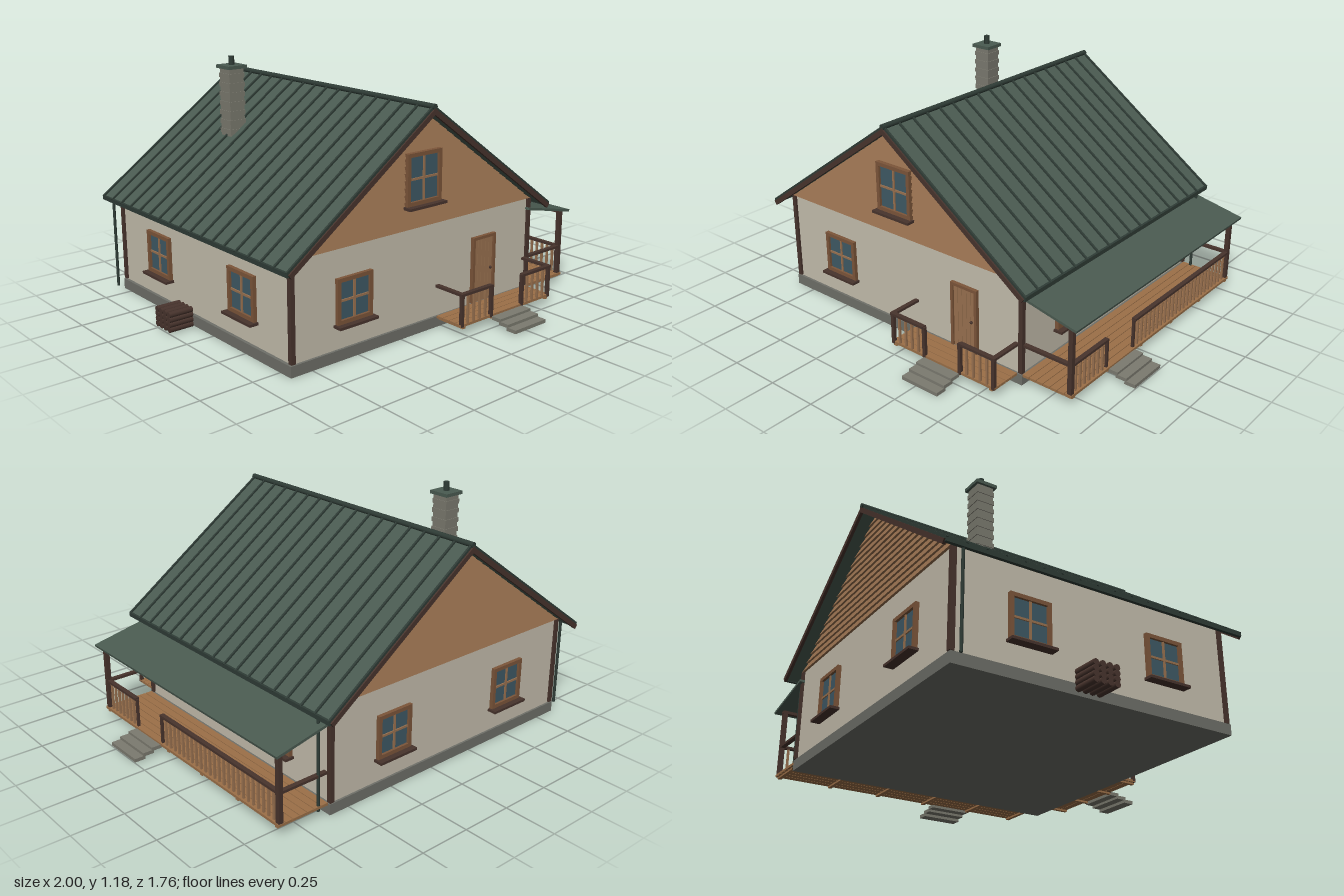
import * as THREE from 'three';

const M = {};
for (const [name, color] of Object.entries({
  plaster: 0xc6bfae, siding: 0x9a7250, darkWood: 0x48342d, frameWood: 0x7d563a, glass: 0x3f5a66,
  roofGreen: 0x4a5b51, seamGreen: 0x2f3c36, stone: 0x7c7b70, foundationGrey: 0x6f7069, deckWood: 0x9c7048,
})) {
  M[name] = new THREE.MeshStandardMaterial({ color });
  M[name].name = name;
}

// Box given by its minimum and maximum corners
function box(parent, name, mat, x0, x1, y0, y1, z0, z1) {
  const m = new THREE.Mesh(new THREE.BoxGeometry(x1 - x0, y1 - y0, z1 - z0), mat);
  m.position.set((x0 + x1) / 2, (y0 + y1) / 2, (z0 + z1) / 2);
  m.name = name;
  parent.add(m);
  return m;
}

function cylinder(parent, name, mat, r, h, x, y, z, sides = 12) {
  const m = new THREE.Mesh(new THREE.CylinderGeometry(r, r, h, sides), mat);
  m.position.set(x, y, z);
  m.name = name;
  parent.add(m);
  return m;
}

function group(parent, name, x = 0, y = 0, z = 0, ry = 0) {
  const g = new THREE.Group();
  g.name = name;
  g.position.set(x, y, z);
  g.rotation.y = ry;
  parent.add(g);
  return g;
}

// House layout: centre, half sizes, roof apex and slope
const CX = -0.1275, CZ = -0.12, HX = 0.72, HZ = 0.683;
const WALL = 0.5, FLOOR = 0.055, APEX = 1.04, SLOPE = 0.715;
const gableHalf = (y) => (APEX - 0.024 - y) / SLOPE;

// Window on a wall; its own +z points outward and y is the bottom of the frame
function addWindow(parent, x, y, z, ry, w = 0.195, h = 0.205) {
  const g = group(parent, 'window', x, y, z, ry), a = w / 2, t = 0.018;
  box(g, 'windowGlass', M.glass, -a + t, a - t, t, h - t, -0.002, 0.006);
  for (const s of [-1, 1]) {
    const c = s * (a - t / 2);
    box(g, 'windowJamb', M.frameWood, c - t / 2, c + t / 2, 0, h, -0.005, 0.018);
  }
  box(g, 'windowHead', M.frameWood, -a + t, a - t, h - t, h, -0.005, 0.018);
  box(g, 'windowBottom', M.frameWood, -a + t, a - t, 0, t, -0.005, 0.018);
  box(g, 'verticalMuntin', M.siding, -0.005, 0.005, t, h - t, 0.003, 0.012);
  box(g, 'horizontalMuntin', M.siding, -a + t, a - t, h / 2 - 0.005, h / 2 + 0.005, 0.003, 0.0115);
  box(g, 'windowSill', M.darkWood, -a - 0.01, a + 0.01, -0.012, 0, -0.005, 0.045);
}

// Railing run along local x with evenly spaced balusters
function addRailing(parent, x, z, ry, length, balusters = true) {
  const g = group(parent, 'railing', x, 0, z, ry);
  box(g, 'topRail', M.darkWood, 0, length, 0.19, 0.202, -0.011, 0.011);
  if (!balusters) return;
  const n = Math.round(length / 0.035);
  for (let i = 1; i < n; i++) {
    const c = (i * length) / n;
    box(g, 'baluster', M.siding, c - 0.005, c + 0.005, FLOOR - 0.005, 0.19, -0.005, 0.005);
  }
}

function addPost(parent, x, z, top, r = 0.01) {
  box(parent, 'post', M.darkWood, x - r, x + r, FLOOR - 0.012, top, z - r, z + r);
}

// Three descending stone treads leading outward along local +z
function addSteps(parent, x, z, ry) {
  const g = group(parent, 'steps', x, 0, z, ry);
  [[0, 0.052, 0.03], [0.043, 0.098, 0.018], [0.088, 0.143, 0.004]].forEach(([a, b, y]) =>
    box(g, 'stepTread', M.stone, -0.104, 0.104, y, y + 0.017, a, b));
}

function buildWalls(root) {
  const g = group(root, 'walls');
  box(g, 'foundation', M.foundationGrey, CX - HX - 0.015, CX + HX + 0.012, 0, FLOOR - 0.004, CZ - HZ - 0.01, CZ + HZ + 0.012);
  box(g, 'plasterWalls', M.plaster, CX - HX, CX + HX, FLOOR - 0.004, WALL, CZ - HZ, CZ + HZ);
  for (const sx of [-1, 1]) for (const sz of [-1, 1]) {
    const x = CX + sx * HX, z = CZ + sz * HZ;
    box(g, 'cornerBoard', M.darkWood, x - 0.011, x + 0.011, FLOOR, WALL, z - 0.011, z + 0.011);
  }
  // Gable core under the roof
  const tri = new THREE.Shape([new THREE.Vector2(-gableHalf(WALL), WALL),
    new THREE.Vector2(gableHalf(WALL), WALL), new THREE.Vector2(0, gableHalf(0) * SLOPE)]);
  const core = new THREE.Mesh(new THREE.ExtrudeGeometry(tri, { depth: 2 * HZ, bevelEnabled: false }), M.siding);
  core.position.set(CX, 0, CZ - HZ);
  core.name = 'gableCore';
  g.add(core);
  // Overlapping clapboards: trapezoids whose top edge leans back to the wall
  const rows = 16, step = (1.012 - WALL) / rows;
  for (const ry of [0, Math.PI]) {
    const gable = group(g, 'gableSiding', CX, 0, CZ, ry);
    for (let i = 0; i < rows; i++) {
      const geo = new THREE.BoxGeometry(1, 1, 1), p = geo.attributes.position;
      for (let k = 0; k < p.count; k++) {
        const up = p.getY(k) > 0, y = WALL + (i + (up ? 1 : 0)) * step;
        p.setXYZ(k, Math.sign(p.getX(k)) * gableHalf(y), y, HZ + (p.getZ(k) < 0 ? -0.004 : up ? 0.002 : 0.012));
      }
      geo.computeVertexNormals();
      const board = new THREE.Mesh(geo, M.siding);
      board.name = 'clapboard';
      gable.add(board);
    }
  }
}

function buildOpenings(root) {
  const g = group(root, 'openings'), front = CZ + HZ, back = CZ - HZ;
  addWindow(g, -0.52, 0.165, front, 0);
  addWindow(g, -0.13, 0.608, front + 0.008, 0, 0.205, 0.235);
  for (const x of [-0.49, 0.24]) addWindow(g, x, 0.165, back, Math.PI);
  for (const z of [0.225, -0.455]) {
    addWindow(g, CX + HX, 0.165, z, Math.PI / 2);
    addWindow(g, CX - HX, 0.165, z, -Math.PI / 2);
  }
  // Planked front door
  const d = group(g, 'door', 0.275, FLOOR, front);
  for (const s of [-1, 1]) box(d, 'doorJamb', M.frameWood, s * 0.069 - 0.007, s * 0.069 + 0.007, 0, 0.322, -0.005, 0.018);
  box(d, 'doorHead', M.frameWood, -0.062, 0.062, 0.308, 0.322, -0.005, 0.018);
  box(d, 'doorBacking', M.darkWood, -0.062, 0.062, 0, 0.308, -0.004, 0.004);
  for (let i = 0; i < 5; i++) box(d, 'doorPlank', M.siding, -0.061 + i * 0.0246, -0.0385 + i * 0.0246, 0, 0.307, 0, 0.01);
  const knob = new THREE.Mesh(new THREE.SphereGeometry(0.007, 10, 8), M.darkWood);
  knob.position.set(0.045, 0.155, 0.016);
  knob.name = 'doorKnob';
  d.add(knob);
}

function buildRoof(root) {
  const g = group(root, 'roof'), L = 0.97, HALF = 0.755, a = Math.atan(SLOPE);
  for (const ry of [0, Math.PI]) {
    const side = group(g, 'roofSide', CX, APEX, CZ, ry);
    const s = group(side, 'roofSlope');
    s.rotation.z = -a;
    box(s, 'roofPanel', M.roofGreen, 0, L, -0.016, 0, -HALF + 0.006, HALF - 0.006);
    for (let i = 0; i <= 17; i++) {
      const z = -HALF + 0.005 + (i * (2 * HALF - 0.01)) / 17;
      box(s, 'standingSeam', M.seamGreen, 0, L, -0.004, 0.008, z - 0.005, z + 0.005);
    }
    for (const k of [-1, 1]) box(s, 'bargeBoard', M.darkWood, 0, L, -0.026, -0.003, k * HALF - 0.007, k * HALF + 0.007);
    // Gutter and downspout
    box(side, 'gutter', M.seamGreen, 0.776, 0.792, -0.578, -0.558, -HALF, HALF);
    cylinder(side, 'downspout', M.seamGreen, 0.007, 0.44, 0.778, -0.79, ry ? 0.672 : -0.672, 10);
  }
  const ridge = cylinder(g, 'ridgeCap', M.seamGreen, 0.013, 2 * HALF + 0.012, CX, APEX + 0.003, CZ);
  ridge.rotation.x = Math.PI / 2;
}

function buildChimney(root) {
  const g = group(root, 'chimney', -0.433, 0, -0.432);
  const n = 16, h = (1.118 - 0.76) / n;
  for (let i = 0; i < n; i++) {
    const r = i % 2 ? 0.0405 : 0.044;
    box(g, 'chimneyCourse', M.stone, -r, r, 0.76 + i * h, 0.76 + (i + 1) * h, -r, r);
  }
  box(g, 'chimneyCap', M.roofGreen, -0.053, 0.053, 1.118, 1.134, -0.053, 0.053);
  cylinder(g, 'fluePipe', M.seamGreen, 0.014, 0.045, 0, 1.154, 0);
}

function buildSidePorch(root) {
  const g = group(root, 'sidePorch'), z0 = -0.8, z1 = 0.572, px = 0.85;
  for (let i = 0; i < 7; i++) box(g, 'deckPlank', M.deckWood, 0.605 + i * 0.0375, 0.639 + i * 0.0375, 0.043, FLOOR, z0, z1);
  for (let i = 0; i < 6; i++) {
    const z = z0 + 0.02 + i * 0.266;
    box(g, 'deckJoist', M.deckWood, 0.605, 0.862, 0.034, 0.043, z - 0.009, z + 0.009);
  }
  for (const z of [-0.787, 0.557]) {
    addPost(g, px, z, 0.392, 0.011);
    addRailing(g, 0.605, z, 0, px - 0.605, false);
  }
  for (const z of [0.077, 0.29]) addPost(g, px, z, 0.195, 0.006);
  addRailing(g, px, 0.557, Math.PI / 2, 0.267);
  addRailing(g, px, 0.077, Math.PI / 2, 0.864);
  box(g, 'porchBeam', M.darkWood, px - 0.01, px + 0.01, 0.372, 0.39, -0.8, 0.568);
  // Lean-to roof
  const r = group(g, 'porchRoof', 0.578, 0.455, 0);
  r.rotation.z = -Math.atan2(0.067, 0.314);
  box(r, 'porchRoofPanel', M.roofGreen, 0, 0.321, -0.012, 0, -0.828, 0.587);
  addSteps(g, 0.857, 0.183, Math.PI / 2);
}

function buildFrontPorch(root) {
  const g = group(root, 'frontPorch'), x0 = -0.03, x1 = 0.578, pz = 0.724;
  for (let i = 0; i < 4; i++) box(g, 'deckPlank', M.deckWood, x0, x1, 0.043, FLOOR, 0.576 + i * 0.039, 0.612 + i * 0.039);
  for (let i = 0; i < 4; i++) {
    const x = x0 + 0.02 + i * 0.189;
    box(g, 'deckJoist', M.deckWood, x - 0.009, x + 0.009, 0.034, 0.043, 0.576, 0.73);
  }
  for (const x of [-0.022, 0.17, 0.38, 0.57]) addPost(g, x, pz, 0.198, 0.008);
  addRailing(g, -0.022, pz, 0, 0.192);
  addRailing(g, 0.38, pz, 0, 0.19);
  for (const x of [-0.022, 0.57]) addRailing(g, x, pz + 0.01, Math.PI / 2, 0.168, false);
  addSteps(g, 0.275, 0.732, 0);
}

// Stacked firewood beside the wall
function buildWoodpile(root) {
  const g = group(root, 'woodpile');
  for (let row = 0; row < 4; row++) for (let i = 0; i < 4; i++) {
    const log = cylinder(g, 'log', M.darkWood, 0.0145, 0.12, -0.94, 0.02 + row * 0.0235, -0.251 + i * 0.034, 8);
    log.rotation.z = Math.PI / 2;
  }
}

export function createModel() {
  const root = new THREE.Group();
  root.name = 'cottage';
  for (const build of [buildWalls, buildOpenings, buildRoof, buildChimney, buildSidePorch, buildFrontPorch, buildWoodpile]) build(root);
  return root;
}
